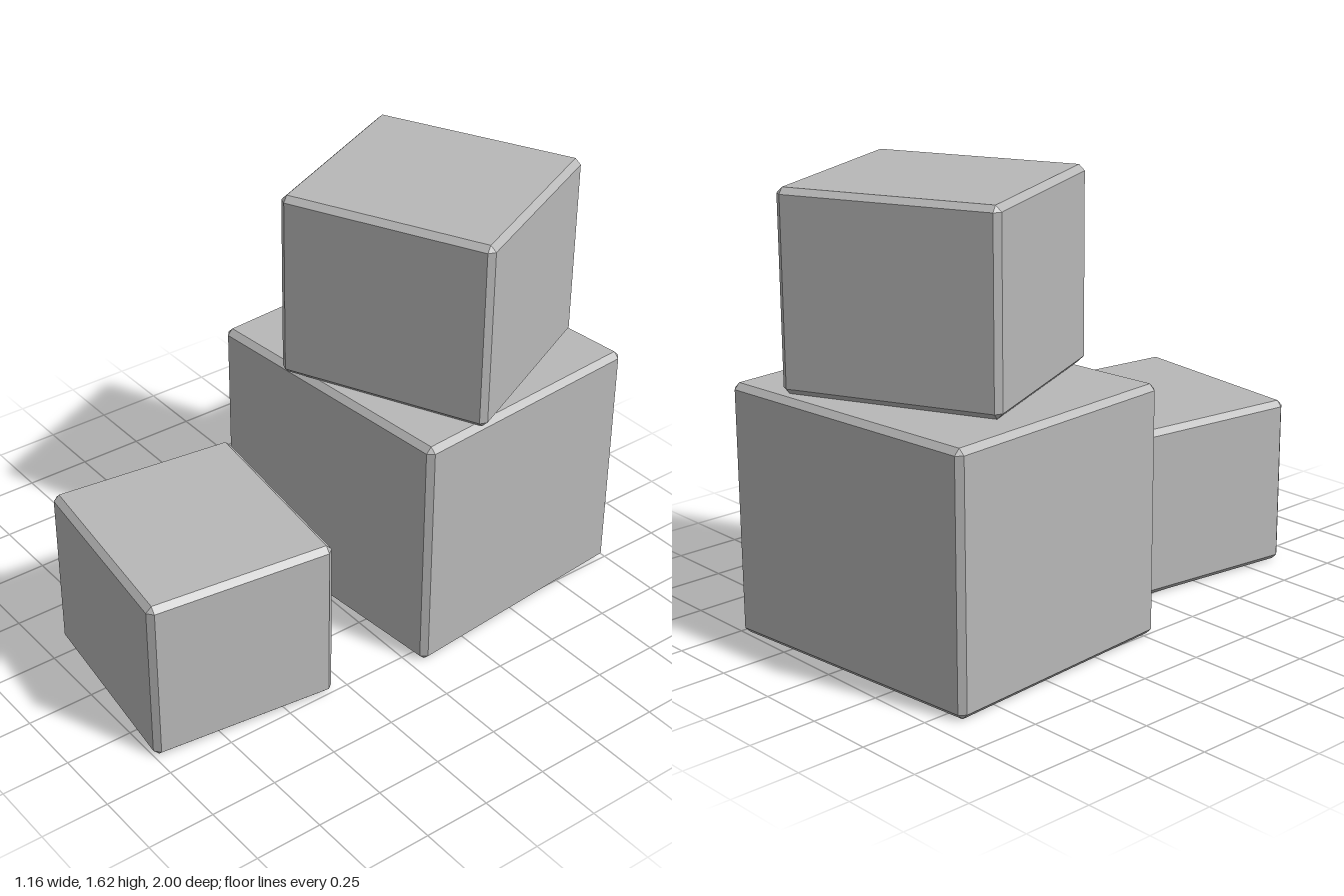
import * as THREE from 'three';
import { ConvexGeometry } from 'three/addons/geometries/ConvexGeometry.js';

const stone = new THREE.MeshStandardMaterial({ color: 0xb8b8b8 });
stone.name = 'grey';

// Box with flat chamfered edges, standing on y = 0
function chamferBox(w, h, d, c) {
  const points = [];
  for (const sx of [-1, 1]) for (const sy of [-1, 1]) for (const sz of [-1, 1]) {
    // Each corner becomes three points, one on each face
    for (let face = 0; face < 3; face++) {
      const inset = [c, c, c];
      inset[face] = 0;
      points.push(new THREE.Vector3(
        sx * (w / 2 - inset[0]),
        h / 2 + sy * (h / 2 - inset[1]),
        sz * (d / 2 - inset[2])
      ));
    }
  }
  return new ConvexGeometry(points);
}

export function createModel() {
  const group = new THREE.Group();
  group.name = 'stackedBlocks';

  const blocks = [
    { name: 'largeBlock', size: [1.084, 0.915, 0.965], at: [-0.007, 0, -0.478], turn: 4.7 },
    { name: 'topBlock', size: [0.795, 0.7, 0.762], at: [0.064, 0.915, -0.448], turn: 24.8 },
    { name: 'frontBlock', size: [0.765, 0.633, 0.698], at: [0.079, 0, 0.608], turn: -7 },
  ];

  for (const { name, size, at, turn } of blocks) {
    const mesh = new THREE.Mesh(chamferBox(...size, 0.021), stone);
    mesh.name = name;
    mesh.position.set(...at);
    mesh.rotation.y = THREE.MathUtils.degToRad(turn);
    group.add(mesh);
  }
  return group;
}
